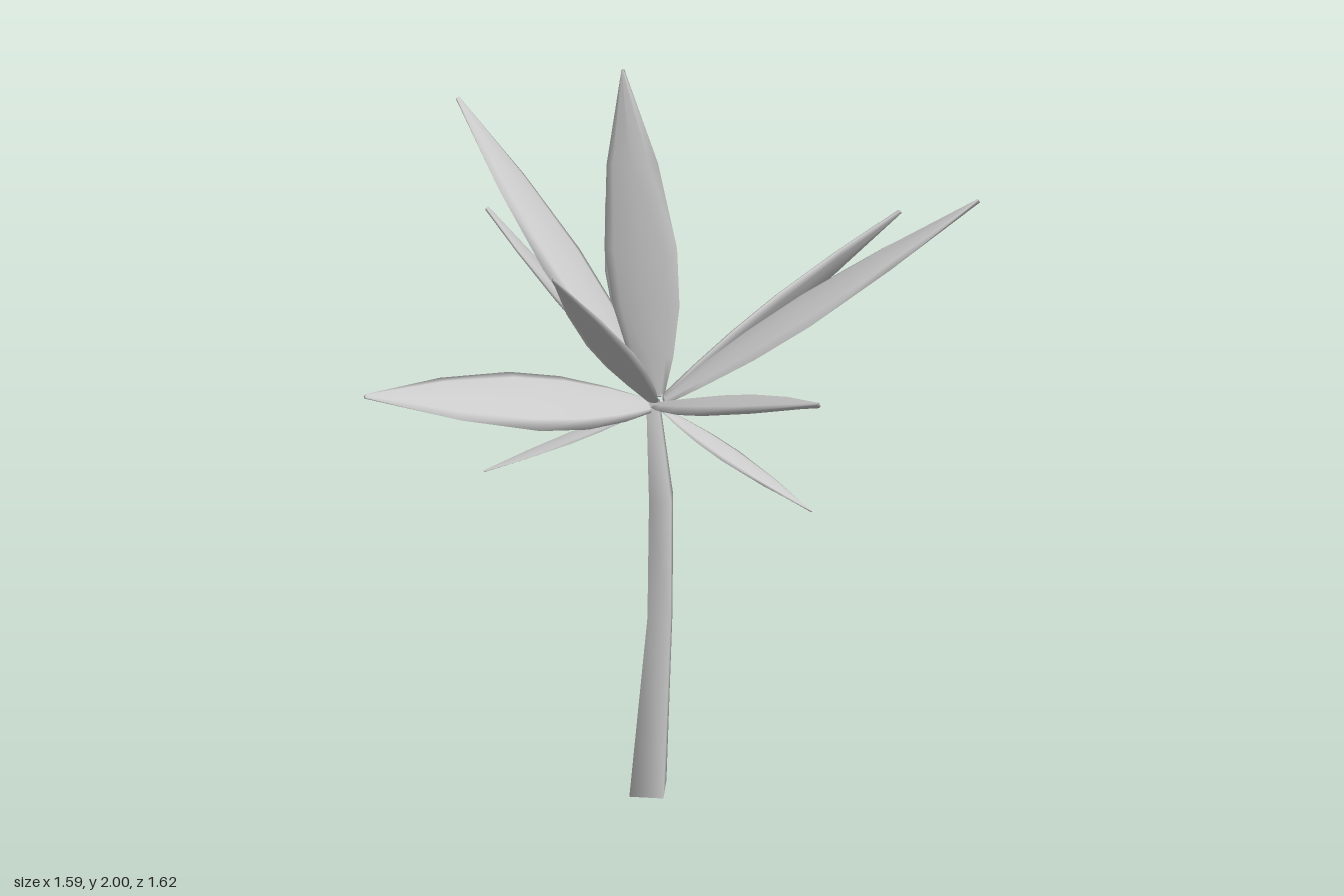
import * as THREE from 'three';

const V = (x, y, z) => new THREE.Vector3(x, y, z);

// Skin a list of equal-sized rings into one smooth closed surface
function loft(rings) {
  const n = rings[0].length, pos = [], idx = [];
  rings.forEach(r => r.forEach(p => pos.push(p.x, p.y, p.z)));
  for (let i = 0; i < rings.length - 1; i++)
    for (let j = 0; j < n; j++) {
      const a = i * n + j, b = i * n + (j + 1) % n;
      idx.push(a, b, a + n, b, b + n, a + n);
    }
  const last = (rings.length - 1) * n;
  for (let j = 1; j < n - 1; j++) {
    idx.push(0, j + 1, j);
    idx.push(last, last + j, last + j + 1);
  }
  const g = new THREE.BufferGeometry();
  g.setAttribute('position', new THREE.Float32BufferAttribute(pos, 3));
  g.setIndex(idx);
  g.computeVertexNormals();
  return g;
}

// Ring spanned by two radius vectors; turning from u to v faces along u x v
function ring(center, u, v, sides) {
  return Array.from({ length: sides }, (_, j) => {
    const a = (j / sides) * Math.PI * 2;
    return center.clone().addScaledVector(u, Math.cos(a)).addScaledVector(v, Math.sin(a));
  });
}

// Long flattened leaf from the crown to its tip, across the given width direction
function leafGeometry(crown, tip, across, half) {
  const dir = tip.clone().sub(crown).normalize();
  const base = crown.clone().addScaledVector(dir, 0.03);
  const w = across.clone().addScaledVector(dir, -across.dot(dir)).normalize();
  const n = dir.clone().cross(w);
  const profile = [[0, 0.28], [0.12, 0.62], [0.28, 0.92], [0.46, 1], [0.72, 0.7], [1, 0.04]];
  return loft(profile.map(([t, s]) => ring(
    base.clone().lerp(tip, t),
    w.clone().multiplyScalar(half * s),
    n.clone().multiplyScalar(half * (0.06 + 0.1 * s)), 8)));
}

export function createModel() {
  const model = new THREE.Group();
  const material = new THREE.MeshStandardMaterial({ color: 0xcccccc, side: THREE.DoubleSide });
  const add = (name, geometry) => {
    const mesh = new THREE.Mesh(geometry, material);
    mesh.name = name;
    model.add(mesh);
  };

  // Four-sided trunk, tapering and leaning: x, y, z, radius
  const trunk = [
    [0, 0, -0.018, 0.067], [0.022, 0.55, -0.041, 0.044],
    [0.023, 0.89, -0.042, 0.041], [0.008, 1.16, -0.026, 0.022],
  ];
  add('trunk', loft(trunk.map(([x, y, z, r]) => ring(V(x, y, z), V(0, 0, r), V(r, 0, 0), 4))));

  // Leaves: tip, width direction, half width
  const crown = V(0.015, 1.15, -0.03);
  const leaves = [
    [V(-0.09, 2.0, -0.01), V(0.87, 0.1, -0.5), 0.098],
    [V(0.10, 1.54, -0.81), V(0.57, 0.72, 0.35), 0.1],
    [V(0.54, 1.70, -0.62), V(0.8, -0.1, 0.55), 0.092],
    [V(-0.68, 1.65, -0.46), V(-0.5, 0.05, 0.86), 0.085],
    [V(-0.80, 1.48, -0.09), V(0.2, 0.6, 0.78), 0.1],
    [V(-0.50, 1.89, 0.20), V(0.41, 0, 0.91), 0.098],
    [V(-0.02, 1.37, 0.81), V(0.86, -0.5, 0.15), 0.098],
    [V(0.28, 1.66, 0.49), V(0.89, 0, -0.46), 0.062],
    [V(0.79, 1.43, 0.15), V(-0.22, -0.05, 0.94), 0.1],
  ];
  leaves.forEach(([tip, across, half], i) => add(`leaf${i + 1}`, leafGeometry(crown, tip, across, half)));

  // Three small drooping leaves spread evenly below the crown
  const drooping = [V(-0.22, 0.99, -0.43), V(-0.22, 0.99, 0.35), V(0.495, 0.99, -0.13)];
  drooping.forEach((tip, i) => {
    const across = V(crown.z - tip.z, 0, tip.x - crown.x);
    add(`droopingLeaf${i + 1}`, leafGeometry(crown, tip, across, 0.038));
  });

  return model;
}
